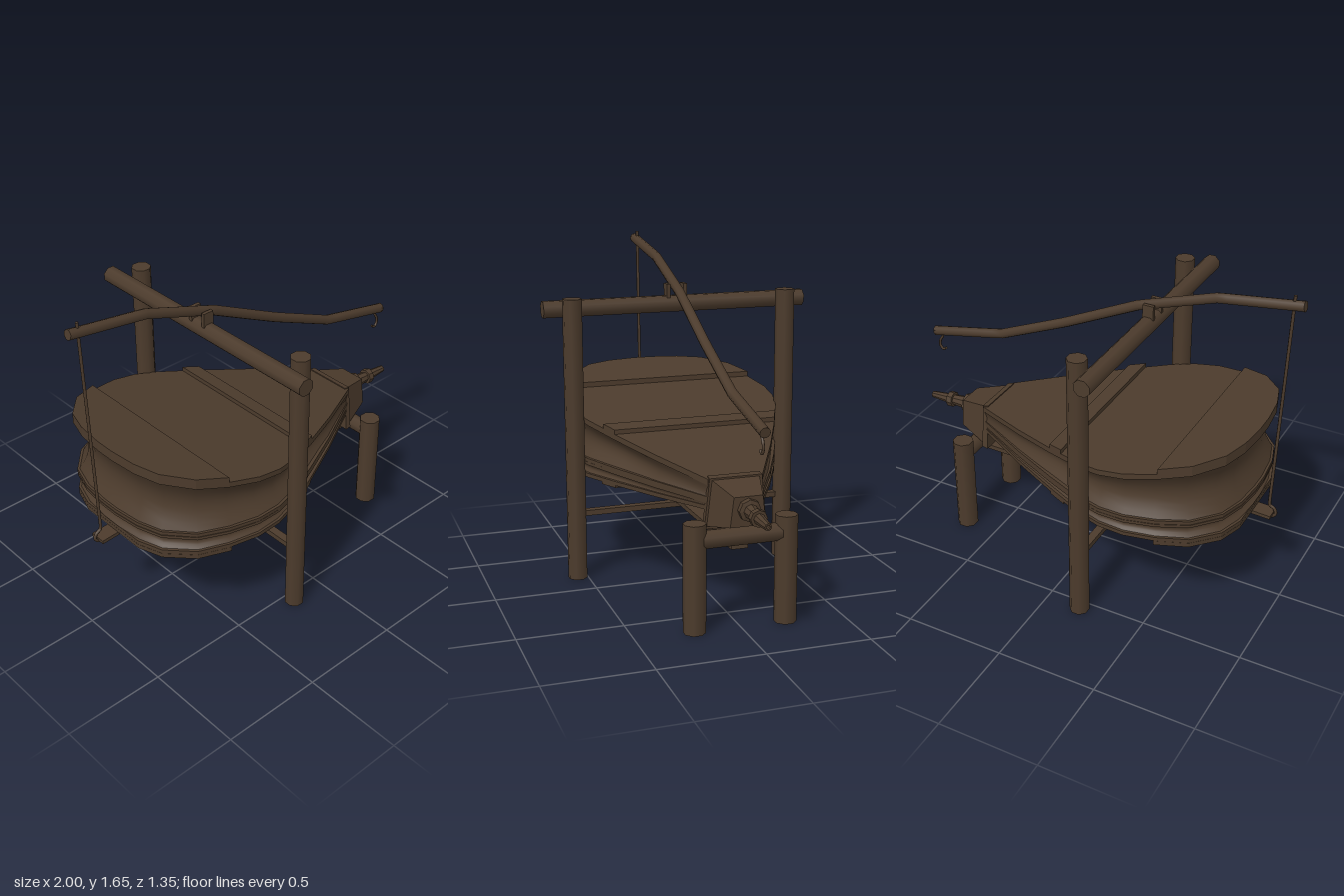
import * as THREE from 'three';

const wood = new THREE.MeshStandardMaterial({ color: 0x4c3b2c, side: THREE.DoubleSide });
wood.name = 'dark wood';

// Half outline of the pear-shaped boards: [x, half width]
const HALF = [
  [-0.855, 0.05], [-0.84, 0.19], [-0.8, 0.315], [-0.69, 0.435], [-0.55, 0.497], [-0.4, 0.533],
  [-0.27, 0.53], [-0.15, 0.497], [0.05, 0.41], [0.3, 0.29], [0.6, 0.13],
];

function widthAt(x) {
  for (let i = 1; i < HALF.length; i++) {
    const [x0, w0] = HALF[i - 1], [x1, w1] = HALF[i];
    if (x <= x1) return w0 + (w1 - w0) * (x - x0) / (x1 - x0);
  }
  return HALF[HALF.length - 1][1];
}

// Height lines along x, given at the rear (x = -0.855) and the front (x = 0.6)
const line = (rear, front) => x => rear + (front - rear) * (x + 0.855) / 1.455;

export function createModel() {
  const group = new THREE.Group();

  function add(name, geometry) {
    const mesh = new THREE.Mesh(geometry, wood);
    mesh.name = name;
    group.add(mesh);
    return mesh;
  }

  // Straight round pole between two points
  function pole(name, a, b, r, sides = 8) {
    const p = new THREE.Vector3(...a), q = new THREE.Vector3(...b);
    const dir = q.clone().sub(p);
    const mesh = add(name, new THREE.CylinderGeometry(r, r, dir.length(), sides).rotateY(Math.PI / sides));
    mesh.position.copy(p).add(q).multiplyScalar(0.5);
    mesh.quaternion.setFromUnitVectors(new THREE.Vector3(0, 1, 0), dir.normalize());
    return mesh;
  }

  function box(name, size, position, tilt = 0) {
    const mesh = add(name, new THREE.BoxGeometry(...size));
    mesh.position.set(...position);
    mesh.rotation.z = tilt;
    return mesh;
  }

  // Slice of the outline, extruded upwards and sheared onto a sloping line
  function board(name, x0, x1, bottom, thickness) {
    const half = [[x0, widthAt(x0)], ...HALF.filter(([x]) => x > x0 && x < x1), [x1, widthAt(x1)]];
    const loop = [...half, ...half.map(([x, w]) => [x, -w]).reverse()];
    const shape = new THREE.Shape(loop.map(([x, z]) => new THREE.Vector2(x, z)));
    const geo = new THREE.ExtrudeGeometry(shape, { depth: thickness, bevelEnabled: false });
    geo.rotateX(-Math.PI / 2);
    const p = geo.attributes.position;
    for (let i = 0; i < p.count; i++) p.setY(i, p.getY(i) + bottom(p.getX(i)));
    geo.computeVertexNormals();
    return add(name, geo);
  }

  // Leather wall that sags inwards between two boards
  function leather(name, low, high) {
    const steps = 8, pos = [], index = [];
    const loop = [...HALF, ...HALF.map(([x, w]) => [x, -w]).reverse()];
    const n = loop.length;
    for (let j = 0; j <= steps; j++) {
      const t = j / steps;
      for (const [x, z] of loop) {
        const gap = high(x) - low(x);
        const sag = 0.012 + Math.sin(Math.PI * t) * Math.min(0.05, gap * 0.35);
        const d = new THREE.Vector2(x + 0.2, z * 1.3).normalize();
        pos.push(x - d.x * sag * (x < 0.3 ? 1 : 0), low(x) + gap * t, z - d.y * sag);
      }
    }
    for (let j = 0; j < steps; j++) {
      for (let i = 0; i < n; i++) {
        const a = j * n + i, b = j * n + (i + 1) % n;
        index.push(a, b, a + n, b, b + n, a + n);
      }
    }
    const geo = new THREE.BufferGeometry();
    geo.setAttribute('position', new THREE.Float32BufferAttribute(pos, 3));
    geo.setIndex(index);
    geo.computeVertexNormals();
    add(name, geo);
  }

  // Bellows boards and leather
  const topLow = line(0.915, 0.66), topHigh = line(0.943, 0.688);
  const midLow = line(0.602, 0.575), midHigh = line(0.638, 0.598);
  const lowLow = line(0.508, 0.545), lowHigh = line(0.53, 0.558);
  board('topBoard', -0.855, 0.6, topLow, 0.028);
  board('topRearPlank', -0.855, -0.55, topHigh, 0.026);
  board('topBatten', -0.03, 0.05, topHigh, 0.022);
  board('middleBoardUpper', -0.855, 0.6, line(0.62, 0.588), 0.018);
  board('middleBoardLower', -0.855, 0.6, midLow, 0.015);
  board('bottomBoard', -0.84, 0.6, lowLow, 0.02);
  board('bottomRearPlank', -0.84, -0.54, line(0.485, 0.525), 0.022);
  board('bottomBatten', -0.045, 0.05, line(0.493, 0.535), 0.02);
  leather('upperLeather', midHigh, topLow);
  leather('lowerLeather', lowHigh, midLow);
  box('rearTongue', [0.3, 0.018, 0.08], [-0.78, 0.481, 0], 0.05);

  // Head block: tapered box, narrower at the top and towards the nozzle
  function taperedBlock(name, x0, x1, rear, front) {
    const geo = new THREE.BoxGeometry(1, 1, 1);
    const p = geo.attributes.position;
    for (let i = 0; i < p.count; i++) {
      const s = p.getX(i) < 0 ? rear : front, up = p.getY(i) > 0;
      p.setXYZ(i, p.getX(i) < 0 ? x0 : x1, up ? s.top : s.bottom, Math.sign(p.getZ(i)) * (up ? s.wTop : s.wBottom));
    }
    geo.computeVertexNormals();
    add(name, geo);
  }
  const collar = { top: 0.698, bottom: 0.452, wTop: 0.125, wBottom: 0.15 };
  taperedBlock('headCollar', 0.575, 0.605, collar, { ...collar, top: 0.692, bottom: 0.457 });
  taperedBlock('headBlock', 0.6, 0.765, { top: 0.685, bottom: 0.47, wTop: 0.115, wBottom: 0.14 },
    { top: 0.645, bottom: 0.507, wTop: 0.068, wBottom: 0.085 });

  // Nozzle
  const profile = [[0, 0], [0.052, 0], [0.052, 0.03], [0.033, 0.035], [0.027, 0.105], [0.04, 0.105],
    [0.04, 0.135], [0.026, 0.135], [0.017, 0.24], [0.009, 0.24], [0.009, 0.2], [0, 0.2]];
  const nozzle = add('nozzle', new THREE.LatheGeometry(profile.map(([r, y]) => new THREE.Vector2(r, y)), 8)
    .toNonIndexed());
  nozzle.geometry.computeVertexNormals();
  nozzle.rotation.z = -Math.PI / 2 - 0.04;
  nozzle.position.set(0.76, 0.586, 0);

  // Frame: posts, legs and crossbars
  for (const s of [1, -1]) {
    pole('tallPost', [-0.18, 0, s * 0.55], [-0.18, 1.41, s * 0.55], 0.048);
    pole('frontLeg', [0.675, 0, s * 0.22], [0.675, 0.515, s * 0.22], 0.053);
    box('leverCheek', [0.055, 0.075, 0.018], [-0.272, 1.412, s * 0.043]);
  }
  pole('topBeam', [-0.27, 1.35, -0.677], [-0.27, 1.35, 0.677], 0.043);
  pole('legBar', [0.675, 0.435, -0.2], [0.675, 0.435, 0.2], 0.042);
  box('lowCrossbar', [0.04, 0.027, 1.06], [-0.18, 0.337, 0]);
  box('lowRail', [0.96, 0.024, 0.08], [0.18, 0.37, 0], 0.02);

  // Bent lever made of a ring swept along straight runs
  const lever = new THREE.CurvePath();
  const bends = [[-0.995, 1.605], [-0.59, 1.546], [-0.2, 1.412], [0.19, 1.22], [0.55, 1.062], [0.95, 0.976]]
    .map(([x, y]) => new THREE.Vector3(x, y, 0));
  for (let i = 1; i < bends.length; i++) lever.add(new THREE.LineCurve3(bends[i - 1], bends[i]));
  add('lever', new THREE.TubeGeometry(lever, 40, 0.025, 8));
  for (const [end, next] of [[bends[0], bends[1]], [bends[5], bends[4]]]) {
    const inner = end.clone().lerp(next, 0.02);
    pole('leverEnd', end.toArray(), inner.toArray(), 0.025);
  }

  // Hooks and pull rod
  function wire(name, points, r) {
    const curve = new THREE.CatmullRomCurve3(points.map(([x, y]) => new THREE.Vector3(x, y, 0)));
    add(name, new THREE.TubeGeometry(curve, 20, r, 6));
  }
  wire('handHook', [[0.915, 0.98], [0.912, 0.955], [0.928, 0.925], [0.93, 0.895], [0.915, 0.877], [0.895, 0.887]], 0.007);
  pole('pullRod', [-0.945, 1.645, 0], [-0.908, 0.53, 0], 0.008, 6);
  wire('rodHook', [[-0.908, 0.54], [-0.912, 0.52], [-0.935, 0.505], [-0.943, 0.478], [-0.925, 0.46], [-0.905, 0.465]], 0.008);

  return group;
}
